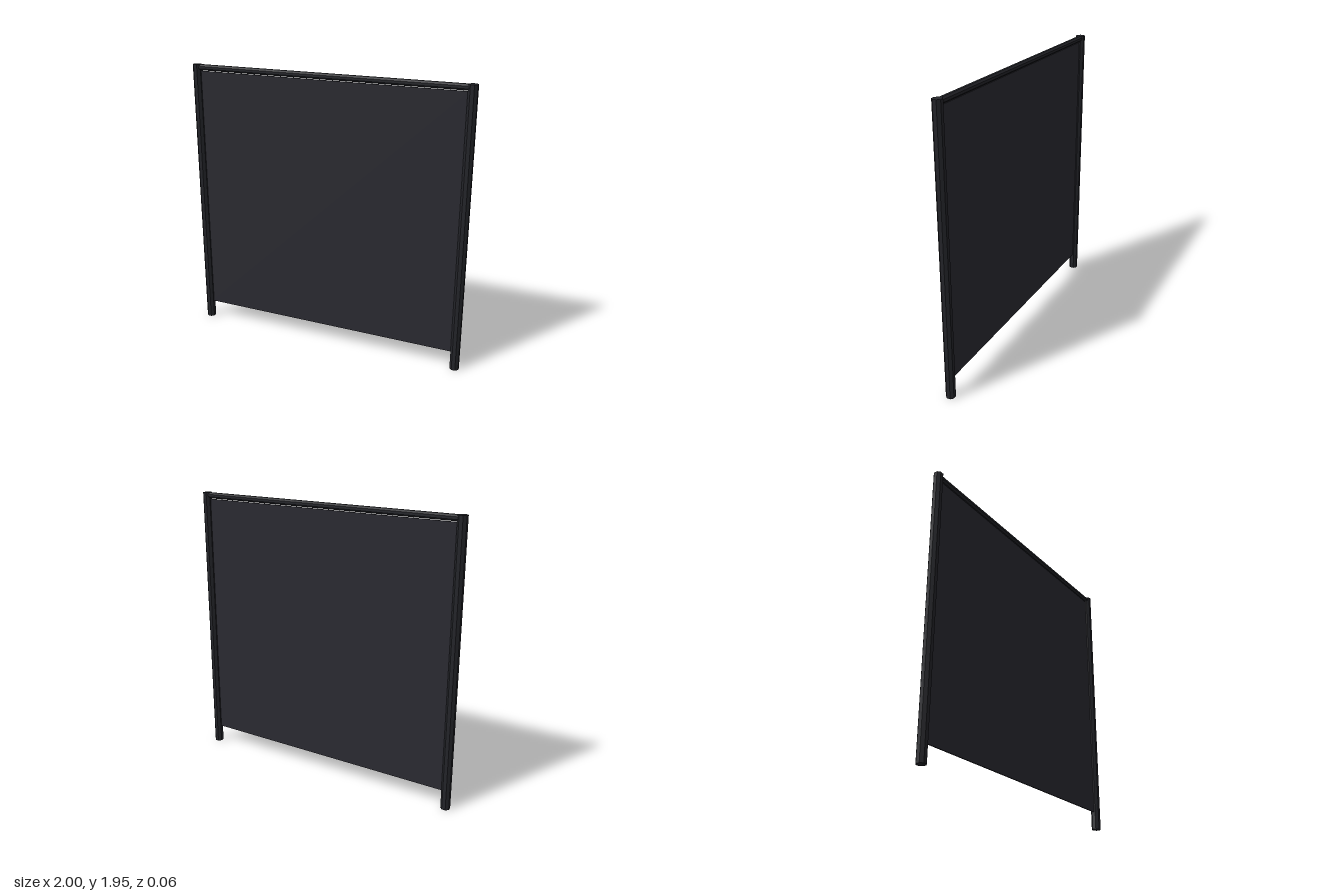
import * as THREE from 'three';

export function createModel() {
  const group = new THREE.Group();
  const frameMaterial = new THREE.MeshStandardMaterial({ color: 0x232429, flatShading: true });
  frameMaterial.name = 'dark frame';
  const panelMaterial = new THREE.MeshStandardMaterial({ color: 0x2a2a31 });
  panelMaterial.name = 'charcoal panel';

  const add = (name, geometry, material, x, y) => {
    const mesh = new THREE.Mesh(geometry, material);
    mesh.name = name;
    mesh.position.set(x, y, 0);
    group.add(mesh);
  };

  // Octagonal bar, turned so its flats face the axes
  const bar = (halfWidth, length) => {
    const radius = halfWidth / Math.cos(Math.PI / 8);
    return new THREE.CylinderGeometry(radius, radius, length, 8).rotateY(Math.PI / 8);
  };

  // Upright posts at both ends
  const height = 1.945;
  for (const side of [-1, 1]) {
    add(side > 0 ? 'leftPost' : 'rightPost', bar(0.03, height), frameMaterial, side * 0.97, height / 2);
  }

  // Top rail between the posts
  add('topRail', bar(0.02, 1.92).rotateZ(Math.PI / 2), frameMaterial, 0, 1.925);

  // Thin panel hanging just below the rail
  const bottom = 0.125, top = 1.9;
  add('panel', new THREE.BoxGeometry(1.9, top - bottom, 0.008), panelMaterial, 0, (top + bottom) / 2);

  return group;
}
